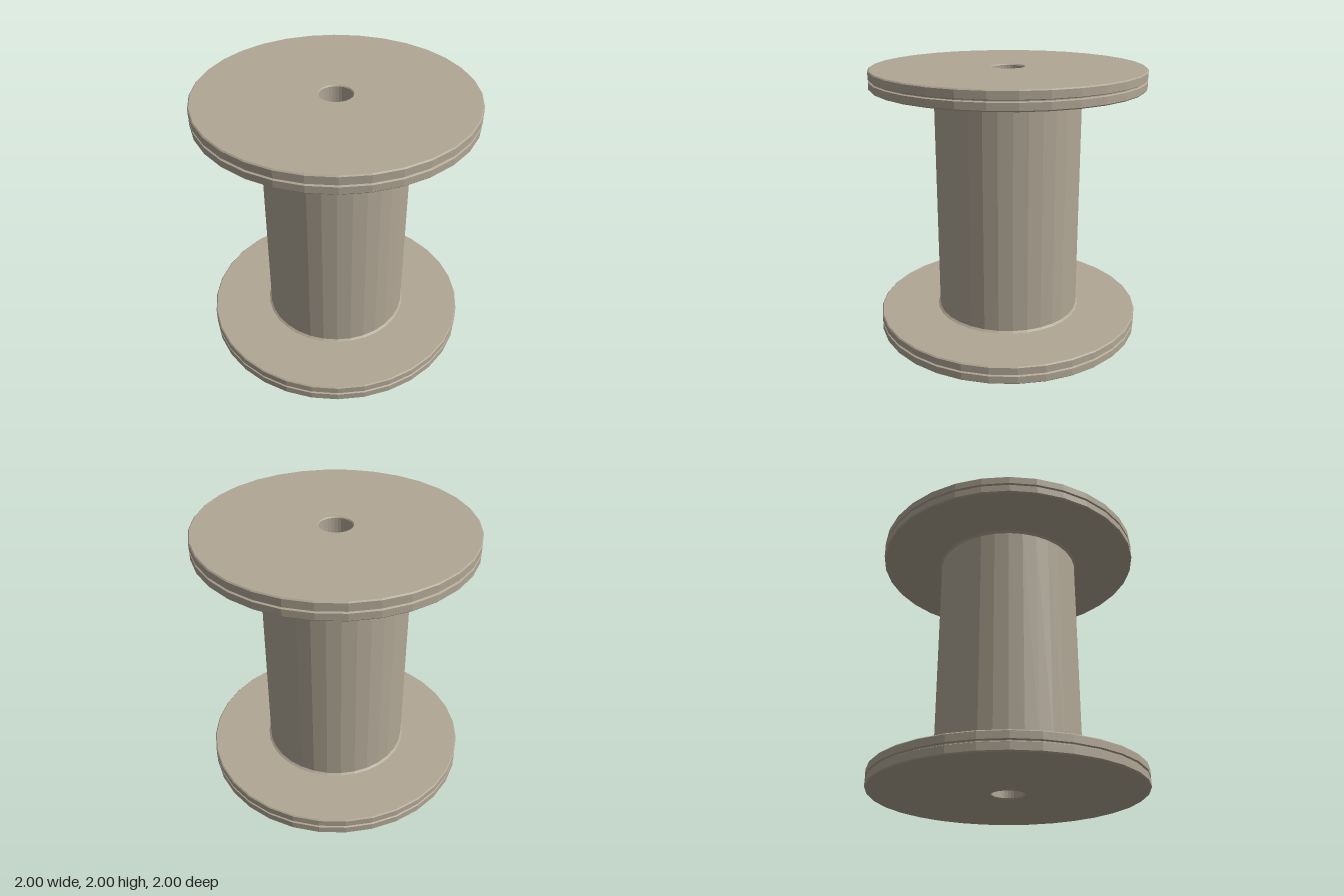
import * as THREE from 'three';

const SIDES = 32;

// Faceted solid of revolution from [radius, height] pairs
function turned(name, profile, material) {
  const points = profile.map(([r, y]) => new THREE.Vector2(r, y));
  const geometry = new THREE.LatheGeometry(points, SIDES).toNonIndexed();
  geometry.computeVertexNormals();
  const mesh = new THREE.Mesh(geometry, material);
  mesh.name = name;
  return mesh;
}

export function createModel() {
  const group = new THREE.Group();
  group.name = 'spool';
  const wood = new THREE.MeshStandardMaterial({ color: 0xb0a695 });
  wood.name = 'greyBeige';

  // Flange: bottom face, two bevelled rims with a groove between, inner face
  const flange = [
    [0.125, 0], [0.992, 0], [1, 0.008], [1, 0.06], [0.988, 0.066],
    [0.988, 0.072], [1, 0.078], [1, 0.127], [0.992, 0.135], [0.53, 0.135],
  ];
  group.add(turned('bottomFlange', flange, wood));
  const top = turned('topFlange', flange, wood);
  top.rotation.x = Math.PI;
  top.position.y = 2;
  group.add(top);

  // Barrel with a small flare where it meets each flange
  group.add(turned('barrel', [
    [0.555, 0.135], [0.54, 0.148], [0.54, 1.852], [0.555, 1.865],
  ], wood));

  // Through bore, listed downward so its faces look inward
  group.add(turned('bore', [
    [0.125, 2], [0.118, 1.992], [0.118, 0.008], [0.125, 0],
  ], wood));

  return group;
}
